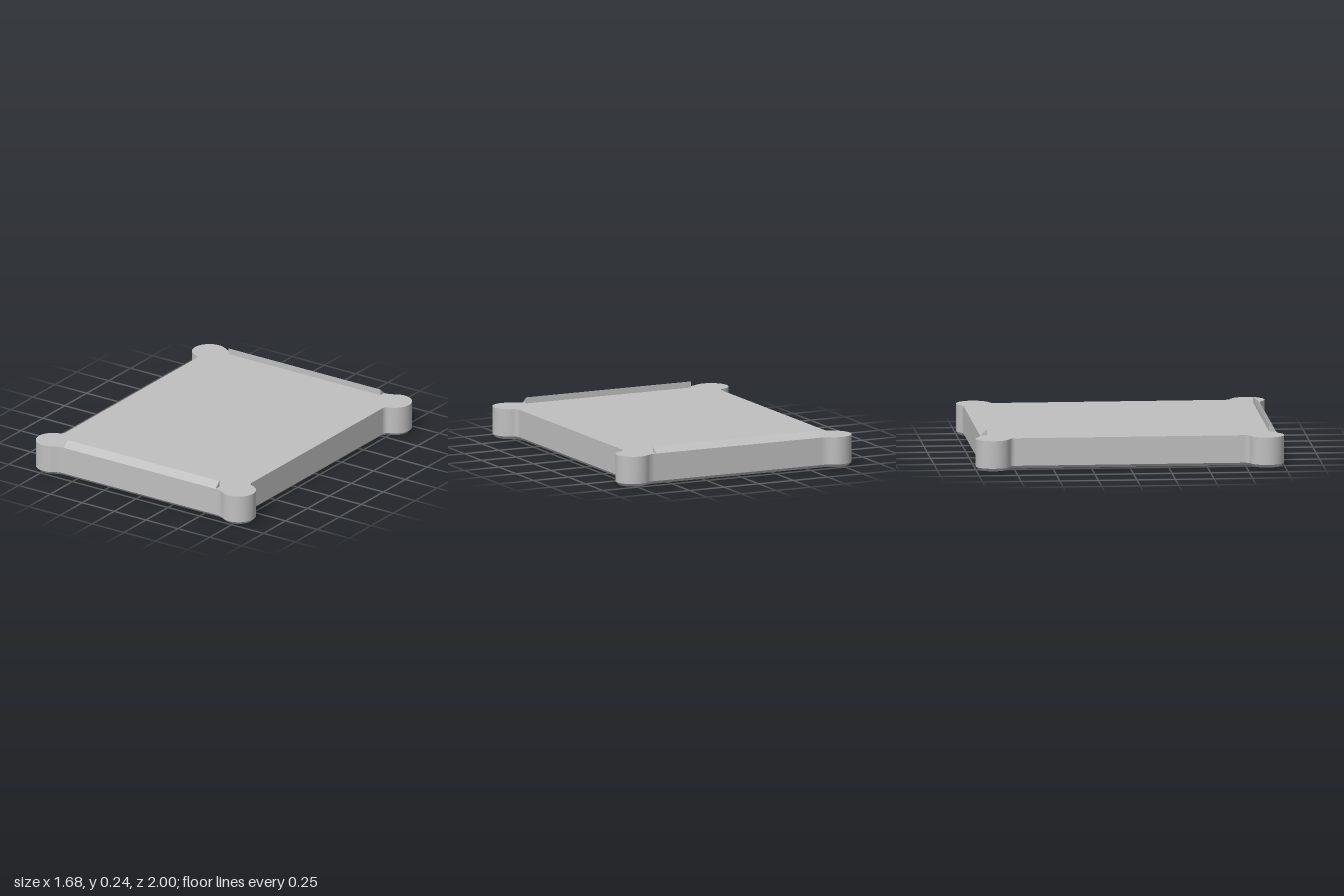
import * as THREE from 'three';

const HEIGHT = 0.2, CHAMFER = 0.02;
const HALF_W = 0.73, HALF_D = 0.96;          // straight walls
const LOBE = { x: 0.728, z: 0.888, r: 0.112 };  // round corner lobes
const SIDE_FILLET = 0.04, END_FILLET = 0.1;

function arc(cx, cz, r, a0, a1, n) {
  return Array.from({ length: n + 1 }, (_, i) => {
    const a = a0 + (a1 - a0) * i / n;
    return new THREE.Vector2(cx + r * Math.cos(a), cz + r * Math.sin(a));
  });
}

// Closed plan outline, moved inward by inset; the same point count for any inset
function outline(inset) {
  const { x, z, r } = LOBE;
  const sx = HALF_W + SIDE_FILLET;
  const sz = z - Math.sqrt((r + SIDE_FILLET) ** 2 - (sx - x) ** 2);
  const ez = HALF_D + END_FILLET;
  const ex = x - Math.sqrt((r + END_FILLET) ** 2 - (ez - z) ** 2);
  const aSide = Math.atan2(z - sz, x - sx);
  const aEnd = Math.atan2(ez - z, ex - x);
  const quarter = [
    ...arc(sx, sz, SIDE_FILLET + inset, Math.PI, aSide, 8),
    ...arc(x, z, r - inset, aSide - Math.PI, aEnd, 36).slice(1),
    ...arc(ex, ez, END_FILLET + inset, aEnd - Math.PI, -Math.PI / 2, 8).slice(1),
  ];
  const mirror = (sX, sZ) => quarter.map(p => new THREE.Vector2(p.x * sX, p.y * sZ));
  return [
    ...quarter, ...mirror(-1, 1).reverse(),
    ...mirror(-1, -1), ...mirror(1, -1).reverse(),
  ];
}

// Smooth wall between two matching outlines
function band(lower, y0, upper, y1) {
  const n = lower.length, positions = [], index = [];
  lower.forEach(p => positions.push(p.x, y0, p.y));
  upper.forEach(p => positions.push(p.x, y1, p.y));
  for (let i = 0; i < n; i++) {
    const j = (i + 1) % n;
    index.push(i, n + i, j, j, n + i, n + j);
  }
  const geometry = new THREE.BufferGeometry();
  geometry.setAttribute('position', new THREE.Float32BufferAttribute(positions, 3));
  geometry.setIndex(index);
  geometry.computeVertexNormals();
  return geometry;
}

function cap(points, y, facing) {
  return new THREE.ShapeGeometry(new THREE.Shape(points))
    .rotateX(-facing * Math.PI / 2).translate(0, y, 0);
}

export function createModel() {
  const model = new THREE.Group();
  model.name = 'tray';
  const grey = new THREE.MeshStandardMaterial({ color: 0xc0c0c0 });
  grey.name = 'light grey';

  const add = (parent, name, geometry) => {
    const mesh = new THREE.Mesh(geometry, grey);
    mesh.name = name;
    parent.add(mesh);
    return mesh;
  };

  // Slab with corner lobes and a chamfered underside
  const body = new THREE.Group();
  body.name = 'body';
  model.add(body);
  const full = outline(0), inner = outline(CHAMFER);
  add(body, 'topFace', cap(full, HEIGHT, 1));
  add(body, 'sideWall', band(full, CHAMFER, full, HEIGHT));
  add(body, 'bottomChamfer', band(inner, 0, full, CHAMFER));
  add(body, 'bottomFace', cap(inner, 0, -1));

  // Wedge lips along both ends, sloping outward
  const profile = new THREE.Shape([
    new THREE.Vector2(0.915, HEIGHT),
    new THREE.Vector2(HALF_D, HEIGHT),
    new THREE.Vector2(0.915, 0.24),
  ]);
  const length = 1.19;
  const wedge = new THREE.ExtrudeGeometry(profile, { depth: length, bevelEnabled: false })
    .translate(0, 0, -length / 2).rotateY(-Math.PI / 2);
  add(model, 'frontLip', wedge);
  add(model, 'backLip', wedge).rotation.y = Math.PI;

  return model;
}
